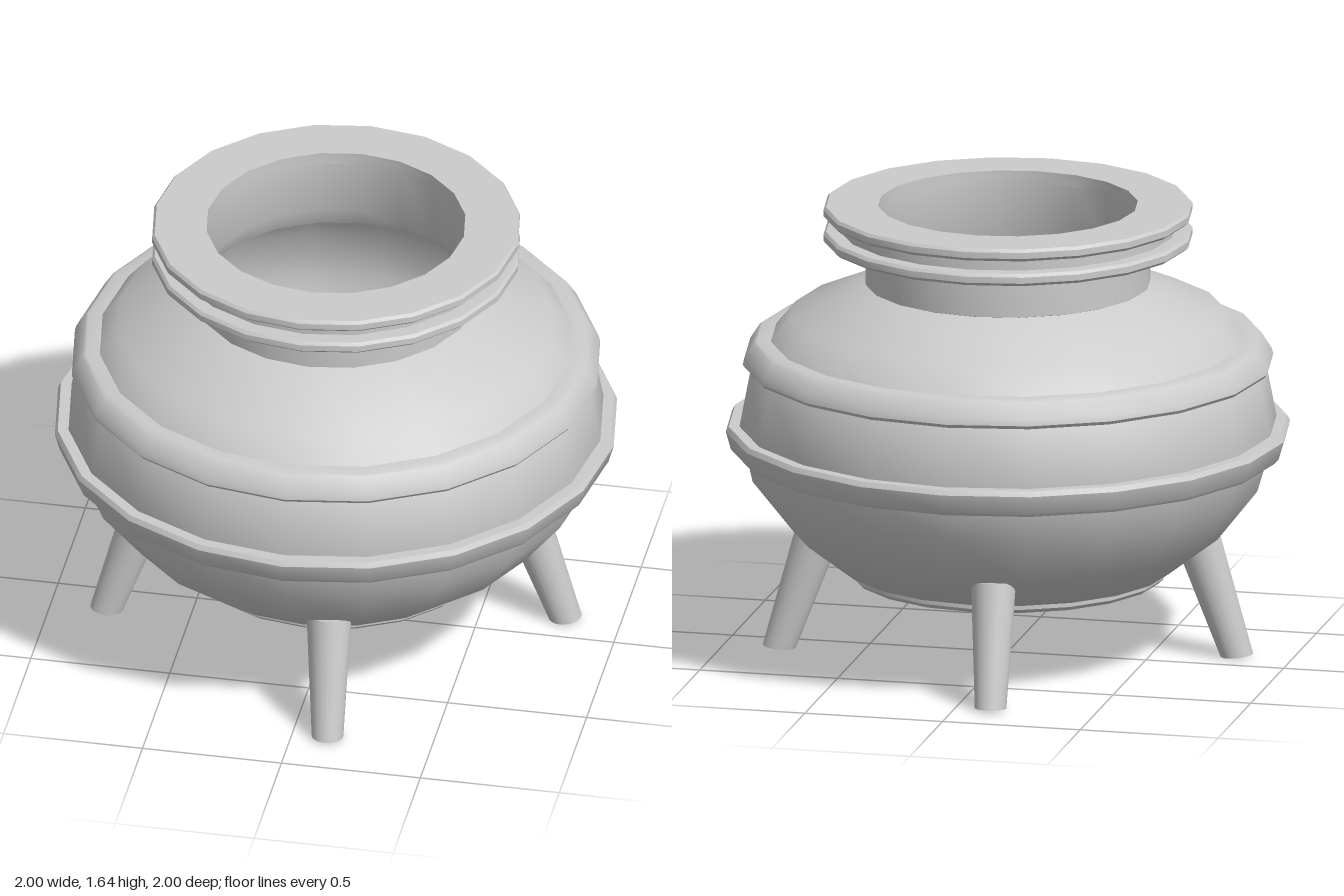
import * as THREE from 'three';
import { toCreasedNormals } from 'three/addons/utils/BufferGeometryUtils.js';

const SIDES = 20;
const material = new THREE.MeshStandardMaterial({ color: 0xcccccc });

// Turned part from [radius, height] pairs, running up the outside
function turned(name, profile) {
  const points = profile.map(([r, y]) => new THREE.Vector2(r, y));
  const mesh = new THREE.Mesh(toCreasedNormals(new THREE.LatheGeometry(points, SIDES), 0.6), material);
  mesh.name = name;
  return mesh;
}

// Tapered leg, sheared outwards with an almost level foot
function makeLeg(angle) {
  const height = 0.43, slope = 0.33;
  const geometry = new THREE.CylinderGeometry(0.08, 0.056, height, 20);
  const p = geometry.attributes.position;
  for (let i = 0; i < p.count; i++) {
    const x = p.getX(i), up = p.getY(i) + height / 2;
    p.setX(i, 0.81 + x * 1.04 - up * slope);
    p.setY(i, 0.006 + up + x * 0.1);
  }
  const mesh = new THREE.Mesh(toCreasedNormals(geometry, 0.6), material);
  mesh.rotation.y = angle;
  mesh.name = 'leg';
  return mesh;
}

export function createModel() {
  const pot = new THREE.Group();
  pot.name = 'pot';

  // Hollow body with neck: outside going up, then inside going down
  pot.add(turned('body', [
    [0, 0.285], [0.55, 0.285], [0.565, 0.3], [0.565, 0.315], [0.585, 0.32],
    [0.76, 0.455], [0.905, 0.64], [0.93, 0.75], [0.952, 0.84], [0.91, 1.06],
    [0.84, 1.15], [0.77, 1.235], [0.5, 1.35], [0.505, 1.352], [0.505, 1.52],
    [0.595, 1.52], [0.595, 1.61], [0.46, 1.61], [0.46, 1.4], [0.5, 1.32],
    [0.74, 1.2], [0.87, 1.04], [0.9, 0.84], [0.86, 0.66], [0.72, 0.49],
    [0.55, 0.345], [0, 0.345],
  ]));

  // Raised bands around the belly
  pot.add(turned('lowerBand', [
    [0.9, 0.745], [0.968, 0.745], [0.982, 0.76], [1, 0.825], [0.99, 0.843], [0.9, 0.843],
  ]));
  pot.add(turned('upperBand', [
    [0.86, 1.055], [0.93, 1.055], [0.94, 1.068], [0.935, 1.09], [0.9, 1.145], [0.89, 1.15], [0.82, 1.15],
  ]));

  // Two rings forming the grooved rim
  for (const [name, y, inner] of [['lowerRimRing', 1.502, 0.5], ['upperRimRing', 1.592, 0.46]]) {
    pot.add(turned(name, [
      [inner, y], [0.64, y], [0.654, y + 0.012], [0.654, y + 0.034], [0.645, y + 0.045], [inner, y + 0.045], [inner, y],
    ]));
  }

  // Four legs, turned half a facet from the axes
  for (let i = 0; i < 4; i++) pot.add(makeLeg(Math.PI / 20 + i * Math.PI / 2));

  return pot;
}
